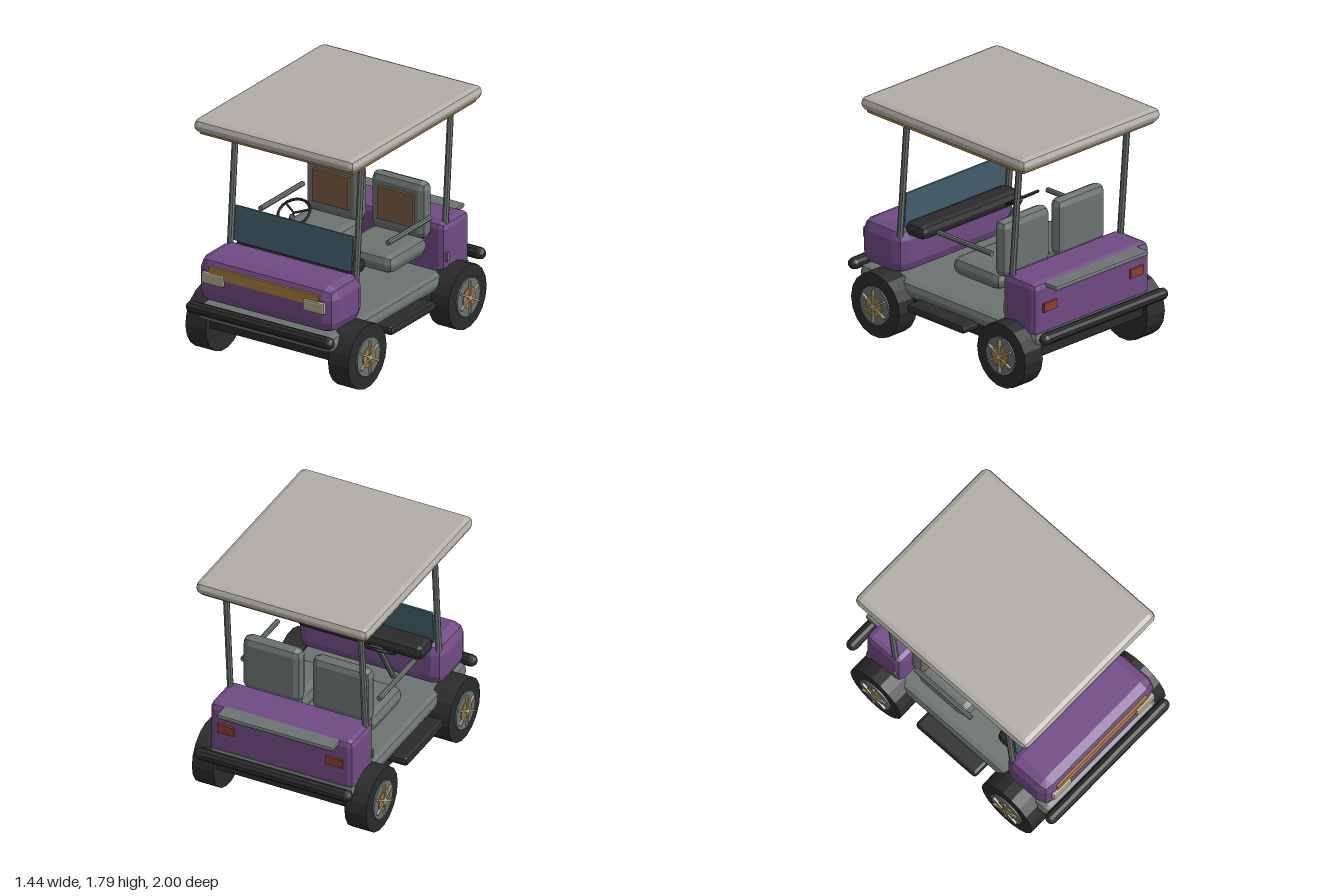
import * as THREE from 'three';
import { RoundedBoxGeometry } from 'three/addons/geometries/RoundedBoxGeometry.js';

const material = (name, color) => {
  const m = new THREE.MeshStandardMaterial({ color });
  m.name = name;
  return m;
};

export function createModel() {
  const model = new THREE.Group();
  model.name = 'golfCart';

  const purple = material('purple paint', 0x704b85);
  const ivory = material('ivory roof', 0xb0aea5);
  const cream = material('cream trim', 0xb3ab8d);
  const gold = material('gold trim', 0xa67e38);
  const grey = material('grey', 0x6b7370);
  const black = material('black', 0x2b2b2b);
  const blue = material('blue glass', 0x42606f);
  const brown = material('brown leather', 0x7a5b44);
  const red = material('red lens', 0x8c3c2e);

  // Every part is faceted: unshared vertices give flat normals
  const add = (name, geometry, mat, parent = model) => {
    const g = geometry.index ? geometry.toNonIndexed() : geometry;
    g.computeVertexNormals();
    const mesh = new THREE.Mesh(g, mat);
    mesh.name = name;
    parent.add(mesh);
    return mesh;
  };

  // Box from its ranges, with bevelled edges when a radius is given
  const box = (name, mat, [x0, x1], [y0, y1], [z0, z1], r = 0, parent = model) => {
    const s = [x1 - x0, y1 - y0, z1 - z0];
    const geo = r ? new RoundedBoxGeometry(...s, 1, r) : new THREE.BoxGeometry(...s);
    const mesh = add(name, geo, mat, parent);
    mesh.position.set((x0 + x1) / 2, (y0 + y1) / 2, (z0 + z1) / 2);
    return mesh;
  };

  // Round bar between two points
  const bar = (name, mat, a, b, r, sides = 8) => {
    const p = new THREE.Vector3(...a), q = new THREE.Vector3(...b);
    const d = q.clone().sub(p);
    const mesh = add(name, new THREE.CylinderGeometry(r, r, d.length(), sides), mat);
    mesh.position.copy(p).add(q).multiplyScalar(0.5);
    mesh.quaternion.setFromUnitVectors(new THREE.Vector3(0, 1, 0), d.normalize());
    return mesh;
  };

  // Chassis and floor
  box('underbody', black, [-0.54, 0.54], [0.225, 0.34], [-0.82, 0.82], 0.02);
  box('floor', grey, [-0.575, 0.575], [0.32, 0.44], [-0.86, 0.92], 0.05);

  // Body shells
  box('frontCowl', purple, [-0.58, 0.58], [0.455, 0.812], [0.49, 0.905], 0.09);
  box('rearBody', purple, [-0.57, 0.57], [0.39, 0.805], [-0.845, -0.515], 0.045);
  box('rearShelf', grey, [-0.46, 0.46], [0.757, 0.795], [-0.945, -0.8], 0.015);
  box('frontBand', gold, [-0.465, 0.465], [0.67, 0.752], [0.895, 0.913]);

  // Dashboard and low windscreen, leaning with the front posts
  box('dashboard', black, [-0.5, 0.5], [0.75, 0.858], [0.345, 0.54], 0.045);
  const screen = box('windscreen', blue, [-0.5, 0.5], [0.815, 1.077], [0.521, 0.537]);
  screen.rotation.x = -0.075;

  // Steering wheel and column
  const wheelX = -0.27;
  bar('steeringColumn', grey, [wheelX, 0.57, 0.35], [wheelX, 0.92, 0.145], 0.021);
  const steering = new THREE.Group();
  steering.name = 'steeringWheel';
  steering.position.set(wheelX, 0.93, 0.13);
  steering.rotation.x = Math.PI / 2 + 0.57;
  model.add(steering);
  add('steeringRim', new THREE.TorusGeometry(0.12, 0.011, 6, 20), black, steering);
  for (let i = 0; i < 3; i++) {
    const a = Math.PI / 2 + (i * Math.PI * 2) / 3;
    const spoke = add('steeringSpoke', new THREE.BoxGeometry(0.115, 0.014, 0.01), black, steering);
    spoke.position.set(Math.cos(a) * 0.0575, Math.sin(a) * 0.0575, 0);
    spoke.rotation.z = a;
  }

  // Roof with gold lining
  box('roof', ivory, [-0.685, 0.685], [1.69, 1.792], [-0.85, 0.8], 0.045);
  box('roofLining', gold, [-0.655, 0.655], [1.667, 1.71], [-0.81, 0.76], 0.018);

  // Bumpers
  for (const z of [0.955, -0.955]) {
    const bumper = add('bumper', new THREE.CapsuleGeometry(0.045, 1.155, 3, 10), black);
    bumper.rotation.z = Math.PI / 2;
    bumper.position.set(0, 0.432, z);
  }

  for (const s of [1, -1]) {
    const span = (a, b) => (s > 0 ? [a, b] : [-b, -a]);

    // Lamps
    box('headlight', cream, span(0.34, 0.52), [0.623, 0.707], [0.895, 0.93], 0.01);
    box('tailLight', red, span(0.365, 0.495), [0.582, 0.65], [-0.862, -0.83]);

    // Roof posts
    bar('frontPost', grey, [s * 0.535, 0.75, 0.54], [s * 0.535, 1.69, 0.467], 0.024);
    bar('rearPost', grey, [s * 0.535, 0.77, -0.582], [s * 0.535, 1.69, -0.655], 0.024);

    // Seat, backrest, leather panel and armrest
    box('seatCushion', grey, span(0.04, 0.51), [0.6, 0.74], [-0.42, 0.06], 0.06);
    box('backrest', grey, span(0.04, 0.51), [0.715, 1.153], [-0.475, -0.36], 0.055);
    box('backrestPanel', brown, span(0.125, 0.425), [0.812, 1.062], [-0.37, -0.338]);
    bar('armrest', grey, [s * 0.54, 0.902, 0.15], [s * 0.54, 0.902, -0.385], 0.02);

    // Side step and body latch
    box('sideStep', black, span(0.52, 0.692), [0.282, 0.347], [-0.25, 0.325], 0.025);
    box('latch', grey, span(0.56, 0.582), [0.515, 0.585], [-0.565, -0.54]);

    // Wheels, built along the local y axis pointing outward
    for (const z of [0.63, -0.63]) {
      const wheel = new THREE.Group();
      wheel.name = z > 0 ? 'frontWheel' : 'rearWheel';
      wheel.position.set(s * 0.605, 0.242, z);
      wheel.rotation.z = -s * Math.PI / 2;
      model.add(wheel);
      add('tyre', new THREE.CylinderGeometry(0.242, 0.242, 0.172, 18), black, wheel);
      const disc = (name, r, top, sides, mat) => {
        add(name, new THREE.CylinderGeometry(r, r, 0.05, sides), mat, wheel).position.y = top - 0.025;
      };
      disc('rim', 0.145, 0.098, 18, grey);
      disc('hub', 0.08, 0.105, 14, gold);
      disc('hubCap', 0.03, 0.112, 10, gold);
      for (let i = 0; i < 3; i++) {
        const spokes = add('spokePair', new THREE.BoxGeometry(0.25, 0.018, 0.014), cream, wheel);
        spokes.position.y = 0.106;
        spokes.rotation.y = (i * Math.PI) / 3;
      }
    }
  }
  return model;
}
